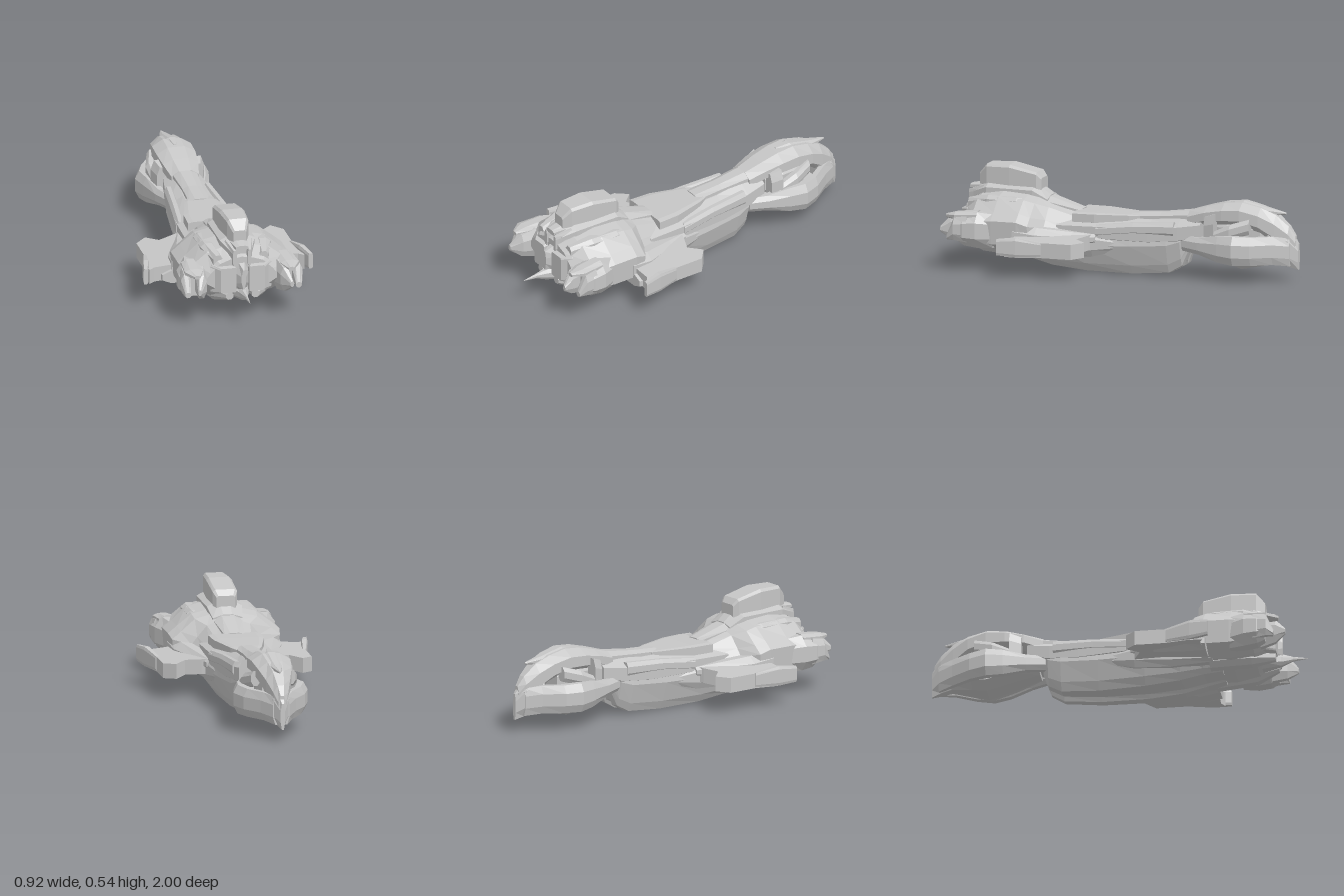
import * as THREE from 'three';

const grey = new THREE.MeshStandardMaterial({ color: 0xc6c6c6 });
grey.name = 'hull grey';
grey.flatShading = true;

// Skin a list of cross-sections running from high z to low z, each a counterclockwise loop.
function loft(rings) {
  const pos = [];
  const tri = (a, b, c) => pos.push(...a, ...b, ...c);
  const n = rings[0].length;
  for (let i = 0; i < rings.length - 1; i++) {
    for (let j = 0; j < n; j++) {
      const k = (j + 1) % n, A = rings[i], B = rings[i + 1];
      tri(A[j], B[j], A[k]);
      tri(A[k], B[j], B[k]);
    }
  }
  const cap = (ring, flip) => {
    const mid = [0, 1, 2].map(a => ring.reduce((s, p) => s + p[a], 0) / n);
    ring.forEach((p, j) => {
      const q = ring[(j + 1) % n];
      flip ? tri(mid, q, p) : tri(mid, p, q);
    });
  };
  cap(rings[0], false);
  cap(rings[rings.length - 1], true);
  const g = new THREE.BufferGeometry();
  g.setAttribute('position', new THREE.Float32BufferAttribute(pos, 3));
  g.computeVertexNormals();
  return g;
}

// Chamfered box section: z, x range, y range, chamfer as a share of the size
function section([z, x0, x1, y0, y1, c = 0.28]) {
  const a = (x1 - x0) * c, b = (y1 - y0) * c;
  return [[x0 + a, y0], [x1 - a, y0], [x1, y0 + b], [x1, y1 - b],
    [x1 - a, y1], [x0 + a, y1], [x0, y1 - b], [x0, y0 + b]].map(([x, y]) => [x, y, z]);
}

// Symmetric section from a half outline running bottom centre to top centre
function halfSection(z, half) {
  const other = half.filter(p => p[0] > 0).reverse().map(([x, y]) => [-x, y]);
  return [...half, ...other].map(([x, y]) => [x, y, z]);
}

const mirrorRings = rings => rings.map(r => r.map(([x, y, z]) => [-x, y, z]).reverse());

export function createModel() {
  const ship = new THREE.Group();
  ship.name = 'starship';
  const add = (name, geo) => {
    const m = new THREE.Mesh(geo, grey);
    m.name = name;
    ship.add(m);
  };
  const centre = (name, rows) =>
    add(name, loft(rows.map(([z, w, y0, y1, c]) => section([z, -w, w, y0, y1, c]))));
  const pair = (name, rows) => {
    const rings = rows.map(section);
    add(name + 'Left', loft(rings));
    add(name + 'Right', loft(mirrorRings(rings)));
  };

  // Main hull: z, half width, bottom, shoulder height, top
  add('mainHull', loft([
    [0.82, 0.2, 0.15, 0.28, 0.36], [0.74, 0.29, 0.1, 0.31, 0.4], [0.62, 0.3, 0.08, 0.32, 0.42],
    [0.48, 0.3, 0.08, 0.32, 0.41], [0.42, 0.29, 0.09, 0.3, 0.395], [0.36, 0.2, 0.1, 0.28, 0.37],
    [0.2, 0.16, 0.14, 0.25, 0.32],
  ].map(([z, w, b, s, t]) => halfSection(z, [
    [0, b], [w * 0.62, b + 0.03], [w * 0.97, b + 0.075], [w, s - 0.04],
    [w * 0.84, s], [w * 0.58, t - 0.03], [w * 0.3, t - 0.01], [0, t]]))));

  // Twin-keeled belly: z, width, bottom, top
  add('belly', loft([
    [0.56, 0.14, 0.08, 0.16], [0.46, 0.17, 0.06, 0.19], [0.34, 0.18, 0.03, 0.22], [0.15, 0.175, 0.01, 0.25],
    [-0.1, 0.15, 0.005, 0.26], [-0.3, 0.13, 0.02, 0.27], [-0.37, 0.115, 0.06, 0.28], [-0.4, 0.09, 0.14, 0.28],
  ].map(([z, w, b, t]) => {
    const h = t - b;
    return halfSection(z, [[0, b + h * 0.11], [w * 0.18, b + h * 0.09], [w * 0.26, b], [w * 0.62, b + h * 0.02],
      [w * 0.78, b + h * 0.2], [w, b + h * 0.62], [w * 0.9, t], [0, t]]);
  })));
  pair('bellyFairing', [[0.52, 0.12, 0.2, 0.1, 0.15], [0.3, 0.11, 0.19, 0.09, 0.2],
    [0.1, 0.11, 0.178, 0.1, 0.23], [-0.02, 0.11, 0.155, 0.13, 0.2]]);

  // Neck and raised dorsal plating
  centre('neck', [[0.3, 0.17, 0.15, 0.3], [0.05, 0.165, 0.16, 0.3], [-0.2, 0.14, 0.15, 0.3],
    [-0.36, 0.12, 0.16, 0.32], [-0.48, 0.1, 0.19, 0.33]]);
  centre('dorsalPlate', [[0.22, 0.14, 0.27, 0.325, 0.1], [0.1, 0.135, 0.27, 0.325, 0.1],
    [-0.08, 0.085, 0.28, 0.32, 0.1], [-0.13, 0.06, 0.29, 0.315, 0.1]]);
  centre('neckRidge', [[-0.08, 0.06, 0.28, 0.325], [-0.24, 0.055, 0.28, 0.335],
    [-0.4, 0.065, 0.28, 0.355], [-0.5, 0.075, 0.3, 0.385]]);
  centre('spineBlock', [[0.48, 0.09, 0.3, 0.41], [0.36, 0.075, 0.3, 0.38], [0.2, 0.055, 0.3, 0.33]]);
  pair('neckRail', [[0.08, 0.12, 0.17, 0.2, 0.27], [-0.12, 0.1, 0.15, 0.22, 0.29],
    [-0.34, 0.08, 0.13, 0.22, 0.3]]);

  // Command tower
  centre('towerBase', [[0.8, 0.06, 0.34, 0.42, 0.35], [0.72, 0.095, 0.36, 0.455, 0.35],
    [0.46, 0.095, 0.36, 0.45, 0.35], [0.38, 0.08, 0.34, 0.39, 0.35]]);
  centre('tower', [[0.775, 0.035, 0.4, 0.49, 0.12], [0.73, 0.058, 0.4, 0.54, 0.1],
    [0.6, 0.068, 0.4, 0.543, 0.1], [0.45, 0.066, 0.4, 0.51, 0.1], [0.425, 0.05, 0.4, 0.48, 0.1]]);
  pair('deckRidge', [[0.8, 0.1, 0.15, 0.3, 0.37], [0.68, 0.105, 0.19, 0.33, 0.395],
    [0.52, 0.105, 0.19, 0.33, 0.39], [0.42, 0.1, 0.16, 0.31, 0.37]]);

  // Bow panels with a central keel, cockpit and prow spike
  pair('bowPanel', [[0.845, 0.035, 0.12, 0.17, 0.31, 0.06], [0.8, 0.03, 0.165, 0.16, 0.32, 0.06],
    [0.65, 0.02, 0.165, 0.14, 0.33, 0.06]]);
  centre('bowKeel', [[0.865, 0.012, 0.19, 0.3, 0.35], [0.81, 0.045, 0.15, 0.33, 0.3], [0.6, 0.06, 0.1, 0.33]]);
  pair('cockpitPost', [[0.83, 0.03, 0.05, 0.31, 0.4, 0.2], [0.74, 0.03, 0.08, 0.3, 0.43, 0.2]]);
  centre('cockpitHood', [[0.83, 0.035, 0.4, 0.425], [0.7, 0.06, 0.39, 0.45]]);
  centre('prowSpike', [[1.0, 0.001, 0.165, 0.168], [0.92, 0.008, 0.155, 0.18],
    [0.86, 0.022, 0.13, 0.19], [0.76, 0.06, 0.11, 0.2]]);
  pair('chinStrake', [[0.84, 0.05, 0.09, 0.13, 0.17], [0.72, 0.06, 0.16, 0.09, 0.18], [0.5, 0.08, 0.18, 0.075, 0.17]]);

  // Forward pods with claw-like cowls around an open mouth
  pair('pod', [[0.81, 0.2, 0.31, 0.16, 0.29], [0.77, 0.18, 0.33, 0.14, 0.31],
    [0.7, 0.18, 0.325, 0.13, 0.32], [0.62, 0.19, 0.29, 0.13, 0.31]]);
  pair('podClawInner', [[0.915, 0.24, 0.26, 0.2, 0.23], [0.86, 0.2, 0.255, 0.16, 0.29], [0.78, 0.18, 0.25, 0.14, 0.31]]);
  pair('podClawOuter', [[0.86, 0.285, 0.315, 0.17, 0.2], [0.82, 0.275, 0.33, 0.17, 0.29], [0.75, 0.27, 0.325, 0.16, 0.3]]);
  pair('podBrow', [[0.88, 0.24, 0.27, 0.28, 0.3], [0.82, 0.21, 0.31, 0.275, 0.315], [0.7, 0.2, 0.3, 0.27, 0.325]]);

  // Wings: plan outline as x, z
  const plan = [[0.1, 0.08], [0.2, 0.11], [0.28, 0.145], [0.34, 0.08], [0.4, 0.135], [0.4, 0.3],
    [0.425, 0.42], [0.42, 0.5], [0.39, 0.48], [0.1, 0.49]];
  for (const s of [1, -1]) {
    const g = new THREE.ExtrudeGeometry(
      new THREE.Shape(plan.map(([x, z]) => new THREE.Vector2(x * s, z))), { depth: 1, bevelEnabled: false });
    g.rotateX(Math.PI / 2);
    const p = g.attributes.position;
    for (let i = 0; i < p.count; i++) {
      const top = 0.235 - Math.abs(p.getX(i)) * 0.09;
      p.setY(i, p.getY(i) > -0.5 ? top : top - 0.08);
    }
    g.computeVertexNormals();
    add(s > 0 ? 'wingLeft' : 'wingRight', g);
  }
  pair('wingTip', [[0.53, 0.435, 0.46, 0.13, 0.215, 0.15], [0.43, 0.405, 0.442, 0.12, 0.225, 0.15],
    [0.3, 0.385, 0.406, 0.125, 0.2, 0.15]]);
  pair('wingRoot', [[0.5, 0.15, 0.3, 0.13, 0.27], [0.38, 0.14, 0.29, 0.13, 0.25],
    [0.2, 0.13, 0.22, 0.15, 0.23], [0.08, 0.12, 0.18, 0.17, 0.22]]);
  pair('wingUnderside', [[0.5, 0.18, 0.35, 0.11, 0.18], [0.4, 0.2, 0.37, 0.1, 0.18], [0.22, 0.2, 0.33, 0.12, 0.2]]);

  // Head: arch, side arms, core, jaw and beak
  centre('headArch', [[-0.4, 0.075, 0.26, 0.355], [-0.5, 0.095, 0.29, 0.385], [-0.6, 0.105, 0.29, 0.41],
    [-0.7, 0.105, 0.29, 0.418], [-0.8, 0.09, 0.26, 0.395], [-0.88, 0.065, 0.2, 0.36],
    [-0.95, 0.04, 0.16, 0.3], [-0.985, 0.02, 0.12, 0.25]]);
  centre('headCrest', [[-0.62, 0.01, 0.38, 0.415], [-0.7, 0.04, 0.38, 0.425],
    [-0.84, 0.03, 0.35, 0.39], [-0.93, 0.004, 0.36, 0.37]]);
  centre('headCore', [[-0.52, 0.05, 0.17, 0.32], [-0.62, 0.075, 0.14, 0.34], [-0.76, 0.06, 0.14, 0.33]]);
  pair('headArm', [[-0.38, 0.05, 0.11, 0.15, 0.23], [-0.48, 0.08, 0.145, 0.14, 0.23], [-0.6, 0.11, 0.18, 0.11, 0.25],
    [-0.69, 0.12, 0.2, 0.1, 0.255], [-0.78, 0.09, 0.165, 0.1, 0.25], [-0.88, 0.03, 0.095, 0.1, 0.25],
    [-0.96, 0.0, 0.045, 0.09, 0.24]]);
  pair('headStrut', [[-0.51, 0.07, 0.125, 0.18, 0.34], [-0.57, 0.08, 0.145, 0.18, 0.36]]);
  pair('headBrace', [[-0.55, 0.09, 0.14, 0.2, 0.26], [-0.66, 0.09, 0.15, 0.23, 0.31], [-0.76, 0.07, 0.12, 0.26, 0.34]]);
  centre('headJaw', [[-0.42, 0.08, 0.15, 0.21], [-0.55, 0.12, 0.11, 0.19], [-0.7, 0.14, 0.065, 0.17],
    [-0.78, 0.11, 0.08, 0.17], [-0.9, 0.05, 0.1, 0.18]]);
  centre('beak', [[-0.85, 0.07, 0.11, 0.31], [-0.95, 0.045, 0.085, 0.28], [-1.0, 0.012, 0.07, 0.21]]);

  return ship;
}
